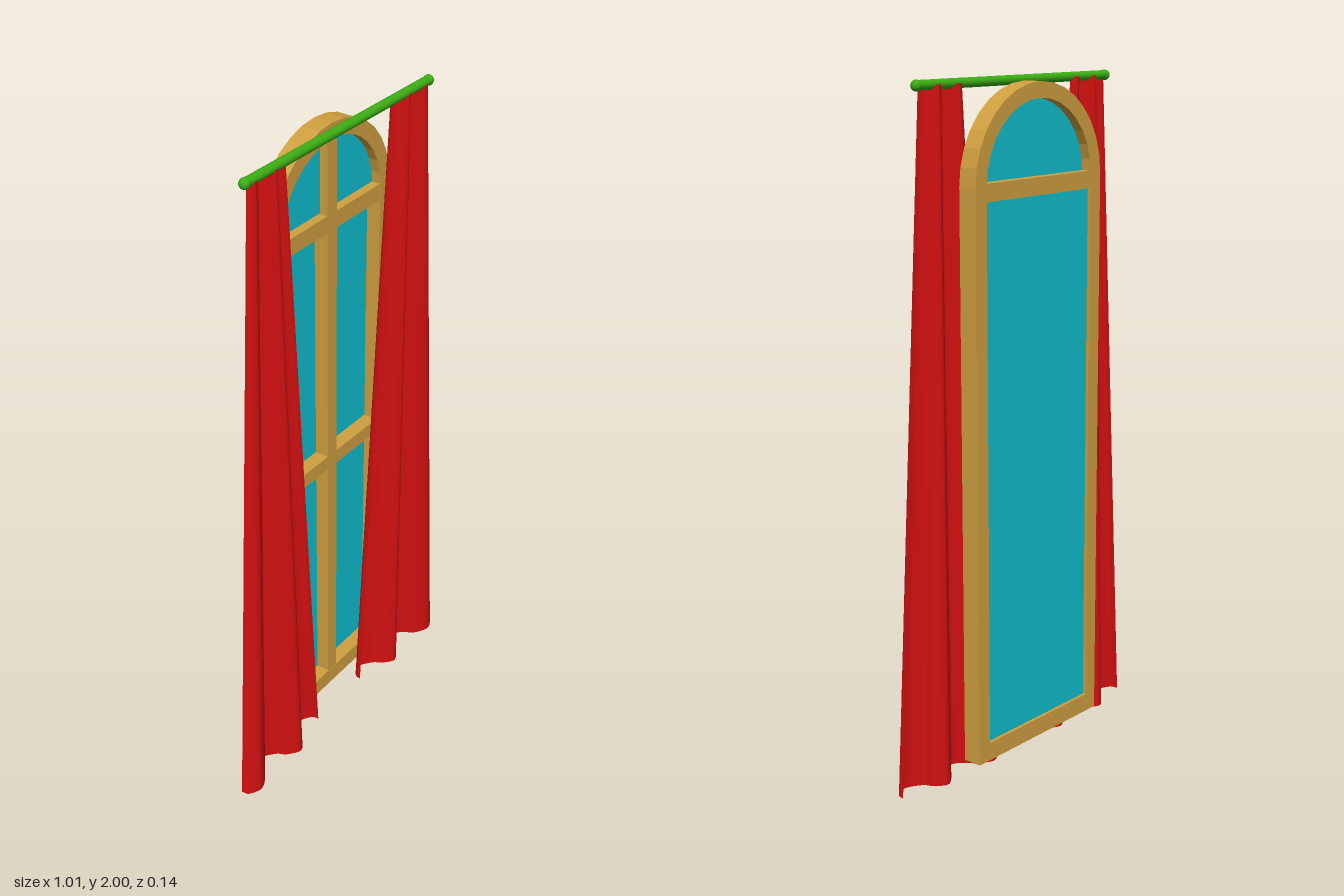
import * as THREE from 'three';

const paint = (color, extra = {}) => new THREE.MeshStandardMaterial({ color, ...extra });

// Upright outline with a round top, as wide as 2r, from y0 up to the arch springing
function archShape(r, y0, spring, Type = THREE.Shape) {
  const s = new Type();
  s.moveTo(-r, y0);
  s.lineTo(r, y0);
  s.lineTo(r, spring);
  s.absarc(0, spring, r, 0, Math.PI, false);
  s.closePath();
  return s;
}

export function createModel() {
  const model = new THREE.Group();
  const wood = paint(0xd0a040), glass = paint(0x10c0d0, { side: THREE.DoubleSide });
  const red = paint(0xd01010, { side: THREE.DoubleSide }), green = paint(0x3cae14);

  const add = (parent, name, geometry, material, x = 0, y = 0, z = 0) => {
    const mesh = new THREE.Mesh(geometry, material);
    mesh.name = name;
    mesh.position.set(x, y, z);
    parent.add(mesh);
    return mesh;
  };

  // Window: arched frame, bars and panes
  const win = new THREE.Group();
  win.name = 'window';
  win.position.x = 0.015;
  model.add(win);
  const spring = 1.715, front = -0.012, back = -0.07;
  const outline = archShape(0.27, 0.05, spring);
  outline.holes.push(archShape(0.225, 0.105, spring, THREE.Path));
  add(win, 'windowFrame', new THREE.ExtrudeGeometry(outline, {
    depth: front - back, bevelEnabled: false, curveSegments: 8,
  }), wood, 0, 0, back);

  const bar = (name, w, h, y, zBack) => add(win, name,
    new THREE.BoxGeometry(w, h, front - zBack), wood, 0, y, (front + zBack) / 2 - 0.001);
  bar('transom', 0.45, 0.05, 1.7, back + 0.002);
  bar('middleBar', 0.45, 0.045, 0.922, -0.056);
  bar('lowerMullion', 0.043, 1.58, 0.89, -0.056);
  bar('archMullion', 0.043, 0.225, 1.83, -0.036);

  add(win, 'lowerPane', new THREE.BoxGeometry(0.45, 1.58, 0.004), glass, 0, 0.89, -0.058);
  add(win, 'archPane', new THREE.ShapeGeometry(archShape(0.23, 1.71, spring), 8), glass, 0, 0, -0.04);

  // Curtains: a wavy fold line that widens and deepens from rod to floor
  const folds = new THREE.CatmullRomCurve3([
    [0, 0], [0.02, 0.6], [0.115, 1], [0.24, 0.4], [0.29, -0.4], [0.375, -1],
    [0.48, -0.35], [0.53, 0.4], [0.63, 1], [0.72, 0.4], [0.77, -0.3], [0.89, -1],
    [0.98, -0.55], [1, 0],
  ].map(([x, z]) => new THREE.Vector3(x, 0, z)), false, 'centripetal').getPoints(80);

  function curtainGeometry(side) {
    const rows = 12, cols = folds.length - 1;
    const geo = new THREE.PlaneGeometry(1, 1, cols, rows);
    const pos = geo.attributes.position;
    for (let j = 0; j <= rows; j++) {
      const t = j / rows; // 0 at the rod, 1 at the floor
      const outer = THREE.MathUtils.lerp(0.39, 0.505, t);
      const inner = THREE.MathUtils.lerp(0.235, 0.115, t);
      const depth = THREE.MathUtils.lerp(0.017, 0.04, t);
      for (let i = 0; i <= cols; i++) {
        const f = folds[side < 0 ? i : cols - i];
        pos.setXYZ(j * (cols + 1) + i,
          side * THREE.MathUtils.lerp(outer, inner, f.x), 1.985 * (1 - t), 0.027 + depth * f.z);
      }
    }
    geo.computeVertexNormals();
    return geo;
  }
  add(model, 'leftCurtain', curtainGeometry(1), red);
  add(model, 'rightCurtain', curtainGeometry(-1), red);

  // Curtain rod with a ball on each end
  const rod = add(model, 'curtainRod', new THREE.CylinderGeometry(0.0135, 0.0135, 0.8, 20), green, 0, 1.985, 0.03);
  rod.rotation.z = Math.PI / 2;
  for (const side of [-1, 1]) {
    add(model, side > 0 ? 'leftRodEnd' : 'rightRodEnd',
      new THREE.SphereGeometry(0.0155, 16, 12), green, side * 0.4, 1.9845, 0.03);
  }
  return model;
}
